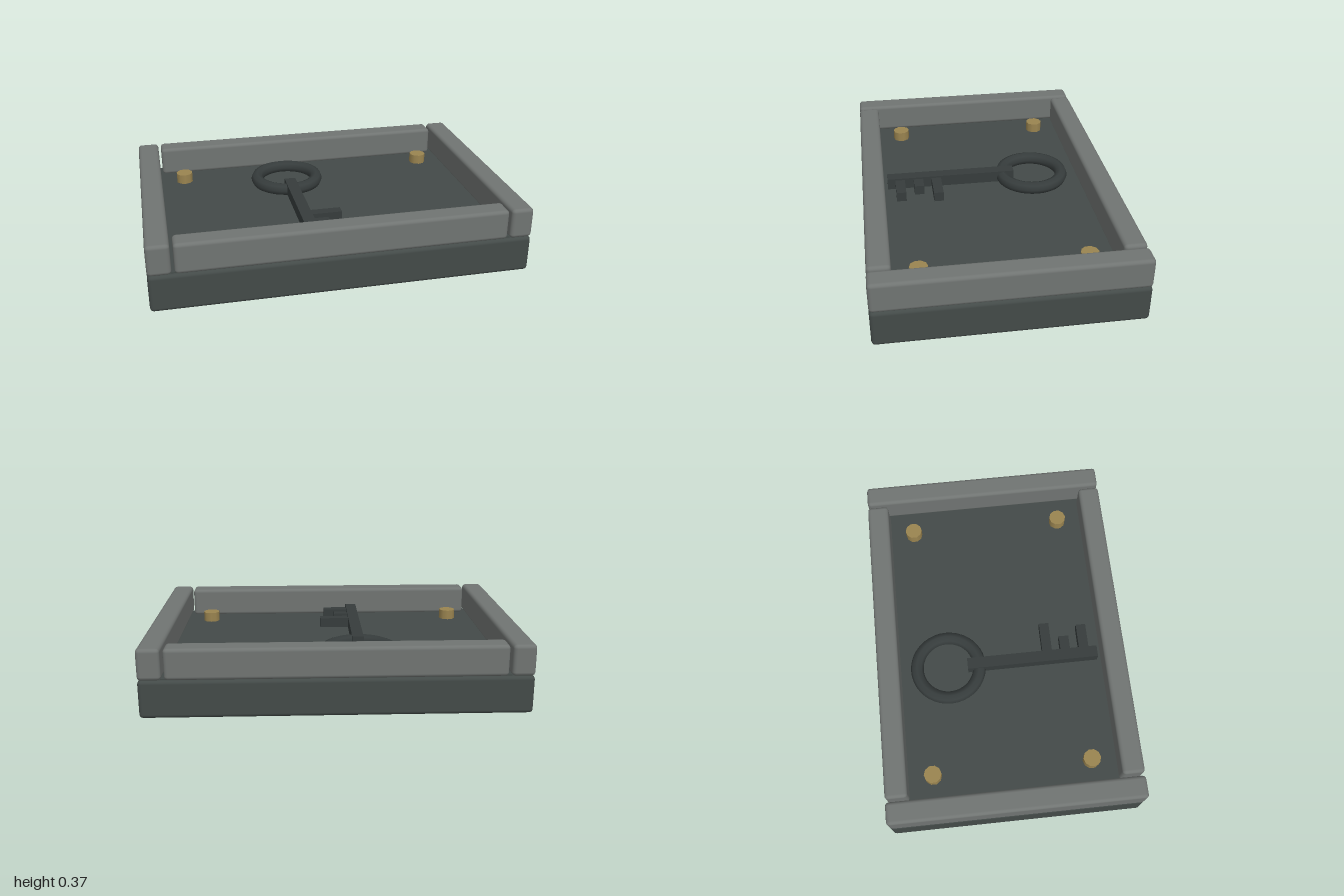
import * as THREE from 'three';
import { RoundedBoxGeometry } from 'three/addons/geometries/RoundedBoxGeometry.js';

const mat = (name, color, flatShading = false) => {
  const m = new THREE.MeshStandardMaterial({ color, flatShading });
  m.name = name;
  return m;
};

export function createModel() {
  const darkStone = mat('dark stone', 0x434a48);
  const greyStone = mat('grey stone', 0x707472);
  const iron = mat('dark iron', 0x363c3c);
  const brass = mat('brass', 0x9a8450);

  const tray = new THREE.Group();
  tray.name = 'keyTray';

  const add = (parent, name, geometry, material, x, y, z) => {
    const mesh = new THREE.Mesh(geometry, material);
    mesh.name = name;
    mesh.position.set(x, y, z);
    parent.add(mesh);
    return mesh;
  };

  // Slab and the thin floor panel between the rails
  add(tray, 'base', new RoundedBoxGeometry(2, 0.2, 1.38, 2, 0.02), darkStone, 0, 0.1, 0);
  add(tray, 'floorPanel', new THREE.BoxGeometry(1.77, 0.01, 1.34), darkStone, 0, 0.2, 0);

  // Raised rim: two long side rails, front and back rails with a small gap at the ends
  for (const s of [-1, 1]) {
    add(tray, s > 0 ? 'leftRail' : 'rightRail',
      new RoundedBoxGeometry(0.12, 0.165, 1.38, 2, 0.02), greyStone, s * 0.94, 0.2825, 0);
    add(tray, s > 0 ? 'frontRail' : 'backRail',
      new RoundedBoxGeometry(1.73, 0.165, 0.12, 2, 0.02), greyStone, 0, 0.2825, s * 0.63);
  }

  // Corner studs
  for (const x of [-0.74, 0.74]) {
    for (const z of [-0.435, 0.435]) {
      add(tray, 'cornerStud', new THREE.CylinderGeometry(0.048, 0.048, 0.06, 10), brass, x, 0.23, z);
    }
  }

  // Key lying on the floor
  const key = new THREE.Group();
  key.name = 'key';
  key.position.set(-0.135, 0.23, 0);
  tray.add(key);

  const ring = add(key, 'keyRing', new THREE.TorusGeometry(0.177, 0.036, 8, 40), iron, 0, 0, -0.3);
  ring.rotation.x = -Math.PI / 2;
  add(key, 'keyShaft', new THREE.BoxGeometry(0.064, 0.07, 0.74), iron, 0, 0.005, 0.18);

  // Bit teeth: length along x, centre along z
  for (const [length, z] of [[0.168, 0.268], [0.08, 0.372], [0.14, 0.478]]) {
    add(key, 'keyTooth', new THREE.BoxGeometry(length + 0.02, 0.06, 0.055), iron, 0.022 + length / 2, 0, z);
  }
  return tray;
}
